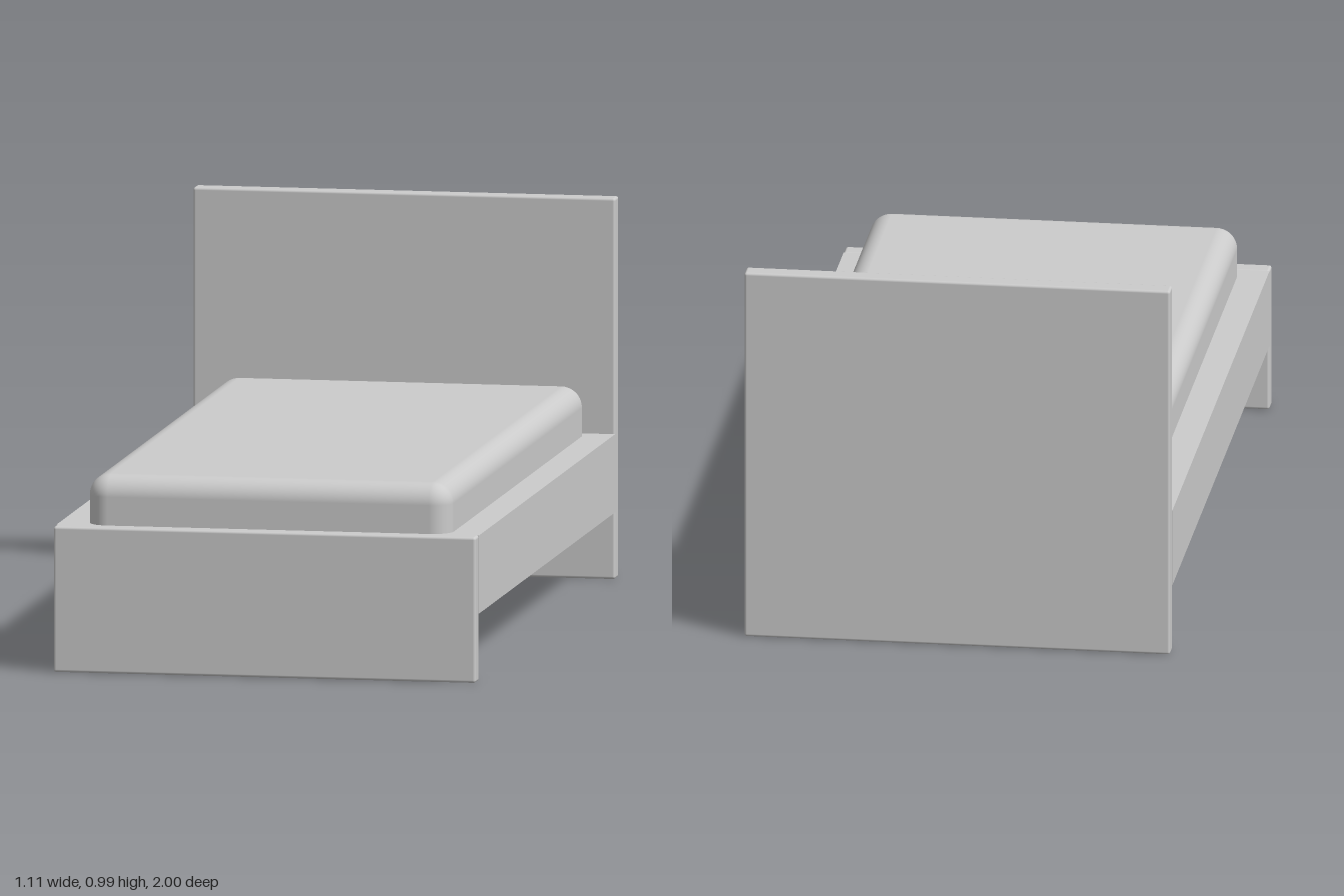
import * as THREE from 'three';
import { RoundedBoxGeometry } from 'three/addons/geometries/RoundedBoxGeometry.js';

export function createModel() {
  const bed = new THREE.Group();
  bed.name = 'bed';
  const material = new THREE.MeshStandardMaterial({ color: 0xcccccc });

  // Box standing between two heights, with optional rounded edges
  function block(name, width, y0, y1, z0, z1, radius = 0, segments = 3) {
    const size = [width, y1 - y0, z1 - z0];
    const geometry = radius
      ? new RoundedBoxGeometry(...size, segments, radius)
      : new THREE.BoxGeometry(...size);
    const mesh = new THREE.Mesh(geometry, material);
    mesh.name = name;
    mesh.position.set(0, (y0 + y1) / 2, (z0 + z1) / 2);
    bed.add(mesh);
  }

  const width = 1.11;

  // End boards reach the floor and carry the base
  block('headboard', width, 0, 0.994, -1, -0.95, 0.007);
  block('footboard', width, 0, 0.38, 0.95, 1, 0.007);

  // Solid base between the boards
  block('base', width, 0.175, 0.379, -0.952, 0.952);

  // Soft mattress, sunk into the base
  block('mattress', 0.956, 0.3, 0.508, -0.946, 0.949, 0.055, 6);

  return bed;
}
